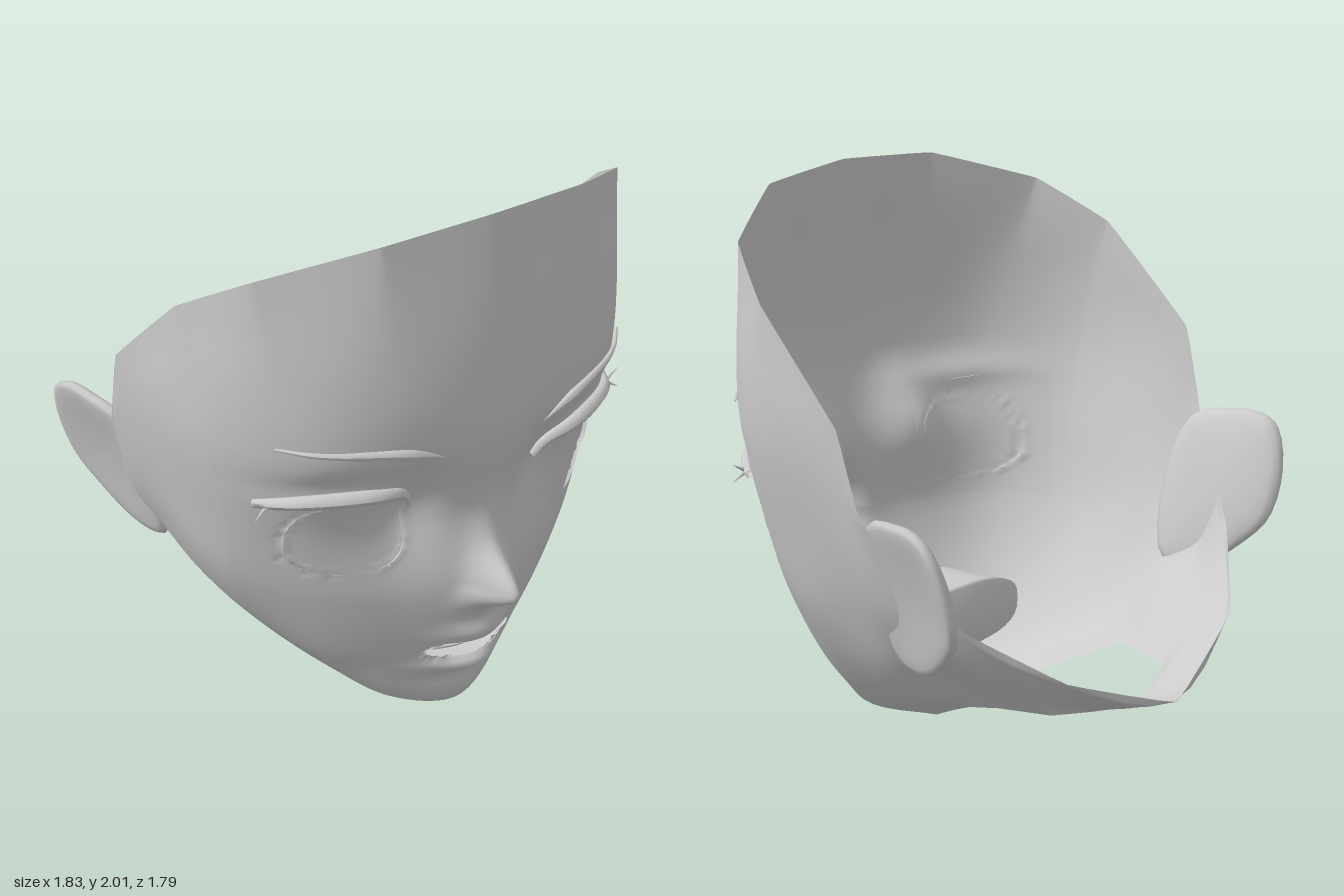
import * as THREE from 'three';

const V = (x, y, z) => new THREE.Vector3(x, y, z);
const grey = () => new THREE.MeshStandardMaterial({ color: 0xcccccc, side: THREE.DoubleSide });
const bump = (d, s) => Math.exp(-(d / s) * (d / s));

// Surface through rows of points; closed rows wrap round, drop() leaves openings
function loft(rows, closed = true, drop = () => false) {
  const n = rows[0].length, pts = rows.flat(), index = [];
  const face = (a, b, c) => {
    if (!drop(pts[a].clone().add(pts[b]).add(pts[c]).divideScalar(3))) index.push(a, b, c);
  };
  for (let i = 0; i < rows.length - 1; i++) {
    for (let j = 0; j < (closed ? n : n - 1); j++) {
      const k = (j + 1) % n, a = i * n + j, b = i * n + k, c = a + n, d = b + n;
      face(a, c, b);
      face(b, c, d);
    }
  }
  const g = new THREE.BufferGeometry().setFromPoints(pts);
  g.setIndex(index);
  g.computeVertexNormals();
  return g;
}

// Openings: rounded boxes for the eyes, ellipse for the mouth
const openings = [
  { x: 0.46, y: 0.885, rx: 0.19, ry: 0.155, p: 2.7 },
  { x: -0.46, y: 0.885, rx: 0.19, ry: 0.155, p: 2.7 },
  { x: 0, y: 0.325, rx: 0.18, ry: 0.045, p: 2 },
];
const reach = (o, v) =>
  (Math.abs((v.x - o.x) / o.rx) ** o.p + Math.abs((v.y - o.y) / o.ry) ** o.p) ** (1 / o.p);

// Head columns from outer rim to neck hole, front centre round to back centre
const columns = [
  [[0, 2, 0.71], [0, 1.25, 0.768], [0, 0.9, 0.705], [0, 0.6, 0.735], [0, 0.3, 0.655], [0, 0.01, 0.55], [0, 0.035, 0.13]],
  [[0.4, 1.975, 0.66], [0.35, 1.25, 0.715], [0.33, 0.9, 0.62], [0.32, 0.6, 0.62], [0.25, 0.28, 0.56], [0.2, 0.035, 0.44], [0.15, 0.085, 0.05]],
  [[0.74, 1.86, 0.44], [0.64, 1.25, 0.57], [0.6, 0.9, 0.5], [0.55, 0.6, 0.46], [0.42, 0.26, 0.38], [0.33, 0.11, 0.26], [0.28, 0.13, -0.02]],
  [[0.867, 1.71, 0.19], [0.84, 1.25, 0.28], [0.77, 0.9, 0.27], [0.7, 0.6, 0.19], [0.55, 0.33, 0.11], [0.45, 0.22, 0], [0.34, 0.21, -0.16]],
  [[0.888, 1.37, -0.18], [0.865, 1.17, -0.12], [0.82, 0.93, -0.1], [0.75, 0.69, -0.1], [0.65, 0.47, -0.14], [0.53, 0.34, -0.21], [0.4, 0.285, -0.3]],
  [[0.87, 1.07, -0.27], [0.73, 0.65, -0.33], [0.365, 0.3, -0.4]],
  [[0.69, 0.72, -0.55], [0.58, 0.54, -0.53], [0.3, 0.31, -0.59]],
  [[0.43, 0.52, -0.775], [0.34, 0.42, -0.71], [0.16, 0.295, -0.645]],
  [[0, 0.355, -0.89], [0, 0.32, -0.79], [0, 0.28, -0.7]],
].map(c => new THREE.CatmullRomCurve3(c.map(p => V(...p))));

// Nose, lips and eye hollows pushed into the smooth head
function sculpt(p) {
  if (p.z < 0.25) return p;
  const { y } = p, x = Math.abs(p.x);
  const noseWidth = y > 0.64 ? 0.06 : 0.06 + (0.64 - y) * 0.3;
  p.z += 0.16 * bump(y - 0.64, y > 0.64 ? 0.11 : 0.09) * bump(x, noseWidth);
  p.z += 0.02 * bump(y - 0.82, 0.1) * bump(x, 0.07);
  p.z += 0.045 * bump(y - 0.4, 0.06) * bump(x, 0.13);
  p.z += 0.05 * bump(y - 0.245, 0.032) * bump(x, 0.14);
  p.z -= 0.012 * bump(y - 0.17, 0.04) * bump(x, 0.15);
  p.z -= 0.048 * bump(y - 0.98, 0.16) * bump(x - 0.26, 0.1);
  p.z -= 0.02 * bump(y - 1.12, 0.05) * bump(x - 0.5, 0.22);
  for (const o of openings) {
    const r = reach(o, p), tol = o.x ? 0.065 : 0.11;
    if (Math.abs(r - 1) < tol) {
      p.x = o.x + (p.x - o.x) / r;
      p.y = o.y + (p.y - o.y) / r;
    }
  }
  return p;
}

function headRows() {
  const across = [24, 20, 14, 5, 4, 4, 4, 4], down = [9, 20, 22, 26, 18, 8];
  const us = [], ts = [];
  [...across, ...across.slice().reverse()].forEach((n, k) => {
    for (let i = 0; i < n; i++) us.push((k + i / n) / 16);
  });
  down.forEach((n, k) => { for (let i = 0; i < n; i++) ts.push((k + i / n) / 6); });
  ts.push(1);
  return ts.map(t => {
    const half = columns.map(c => c.getPoint(t));
    const other = half.slice(1, 8).reverse().map(p => V(-p.x, p.y, p.z));
    // Rings straighten into polygons toward the rim and the neck hole
    const tension = 0.5 * Math.min(1, (1 - t) * 6, 0.15 + t * 10);
    const ring = new THREE.CatmullRomCurve3([...half, ...other], true, 'catmullrom', tension);
    return us.map(u => sculpt(ring.getPoint(u)));
  });
}

// Tapered, flattened tube along a path
function strand(points, radius, taper, flat = 1) {
  const n = 28, m = 8, curve = new THREE.CatmullRomCurve3(points);
  const g = new THREE.TubeGeometry(curve, n, radius, m), pos = g.attributes.position;
  const v = V(0, 0, 0);
  for (let i = 0; i <= n; i++) {
    const c = curve.getPointAt(i / n);
    for (let j = 0; j <= m; j++) {
      const k = i * (m + 1) + j;
      v.fromBufferAttribute(pos, k).sub(c).multiplyScalar(taper(i / n));
      pos.setXYZ(k, c.x + v.x, c.y + v.y, c.z + v.z * flat);
    }
  }
  g.computeVertexNormals();
  return g;
}

// Cupped ear leaning outward toward the back
function earGeometry() {
  const outline = new THREE.CatmullRomCurve3([
    [1.06, -0.27], [1.105, -0.42], [1.11, -0.52], [1.07, -0.6], [0.92, -0.655], [0.74, -0.64],
    [0.65, -0.57], [0.55, -0.45], [0.52, -0.36], [0.54, -0.26], [0.8, -0.21],
  ].map(([y, z]) => V(0, y, z)), true);
  const rows = [], mid = V(0, 0.83, -0.44);
  for (let i = 0; i <= 14; i++) {
    const a = (i / 14) * Math.PI, s = Math.sin(a), c = Math.cos(a);
    const off = 0.055 * Math.sign(c) * Math.abs(c) ** 0.7 - (c > 0 ? 0.045 * (1 - s * s) : 0);
    rows.push(Array.from({ length: 36 }, (_, j) => {
      const p = mid.clone().lerp(outline.getPoint(j / 36), s);
      p.x = 0.685 + 0.28 * (p.y - 0.52) - 0.2 * (p.z + 0.3) + off;
      return p;
    }));
  }
  return loft(rows);
}

// Mouth cavity: rings of [z, half width, centre y, half height, bend, tilt]
function mouthGeometry() {
  return loft([
    [0.69, 0.18, 0.325, 0.047, 2.5, 0.02], [0.64, 0.2, 0.33, 0.08, 2, 0.01], [0.56, 0.22, 0.34, 0.11, 1.5, 0],
    [0.4, 0.26, 0.35, 0.13, 0.6, 0], [0.17, 0.31, 0.365, 0.12, 0, 0], [0.14, 0.32, 0.365, 0.12, 0, 0],
    [0.14, 0.001, 0.365, 0.001, 0, 0],
  ].map(([z, w, y, h, bend, tilt], i) => Array.from({ length: 32 }, (_, j) => {
    const a = (j / 32) * Math.PI * 2, sq = q => Math.sign(q) * Math.abs(q) ** (i < 2 ? 1 : 0.7);
    const x = w * sq(Math.cos(a)), up = sq(Math.sin(a));
    return V(x, y + h * up, z - bend * x * x + tilt * up);
  })));
}

export function createModel() {
  const model = new THREE.Group();
  const add = (name, geometry, parent = model) => {
    const mesh = new THREE.Mesh(geometry, grey());
    mesh.name = name;
    parent.add(mesh);
  };

  const rows = headRows();
  add('head', loft(rows, true, c => c.z > 0.25 && openings.some(o => reach(o, c) < 0.985)));

  // Point on the face in front of (x, y), lifted by d
  const front = rows.flat().filter(p => p.z > 0.2 && p.x > 0);
  const onFace = (x, y, d) => {
    let best = front[0], min = 9;
    for (const p of front) {
      const q = (p.x - x) ** 2 + (p.y - y) ** 2;
      if (q < min) { min = q; best = p; }
    }
    return V(x, y, best.z + d);
  };

  const path = (list, d) => list.map(([x, y]) => onFace(x, y, d));
  const brow = strand(path([[0.2, 1.195], [0.28, 1.227], [0.37, 1.25], [0.46, 1.262], [0.55, 1.27], [0.63, 1.277], [0.71, 1.285]], 0.018),
    0.026, t => Math.max(0.03, Math.min(1, t * 4) * (1 - t * 0.8)), 0.7);
  const lid = strand(path([[0.265, 0.98], [0.3, 1.035], [0.4, 1.066], [0.53, 1.073], [0.66, 1.066], [0.74, 1.045]], 0.012),
    0.028, t => 0.3 + 0.7 * Math.sin(Math.PI * Math.min(1, 0.1 + t * 0.8)));
  const lashes = [[0.78, 1.08, 0.46], [0.77, 1.01, 0.475]].map(tip =>
    strand([onFace(0.64, 1.06, 0.01), onFace(0.71, 1.045, 0.025), V(...tip)], 0.02, t => 1.02 - t));

  // Eye panel follows the face just behind the opening
  const eye = loft(rows.slice(17, 48).map(r =>
    r.slice(17, 54).map(p => V(p.x, p.y, p.z - 0.02))), false);

  const ear = earGeometry();
  for (const [side, sx] of [['left', 1], ['right', -1]]) {
    const half = new THREE.Group();
    half.name = side + 'Features';
    half.scale.x = sx;
    model.add(half);
    add(side + 'Ear', ear, half);
    add(side + 'Eyebrow', brow, half);
    add(side + 'UpperEyelid', lid, half);
    add(side + 'Eye', eye, half);
    lashes.forEach((g, i) => add(side + 'Eyelash' + (i + 1), g, half));
  }

  // Mouth inside and upper teeth
  add('mouthCavity', mouthGeometry());
  add('upperTeeth', loft([0.4, 0.3].map(y => Array.from({ length: 17 }, (_, j) => {
    const x = (j / 8 - 1) * 0.17;
    return V(x, y, 0.625 - 2 * x * x);
  })), false));

  return model;
}
